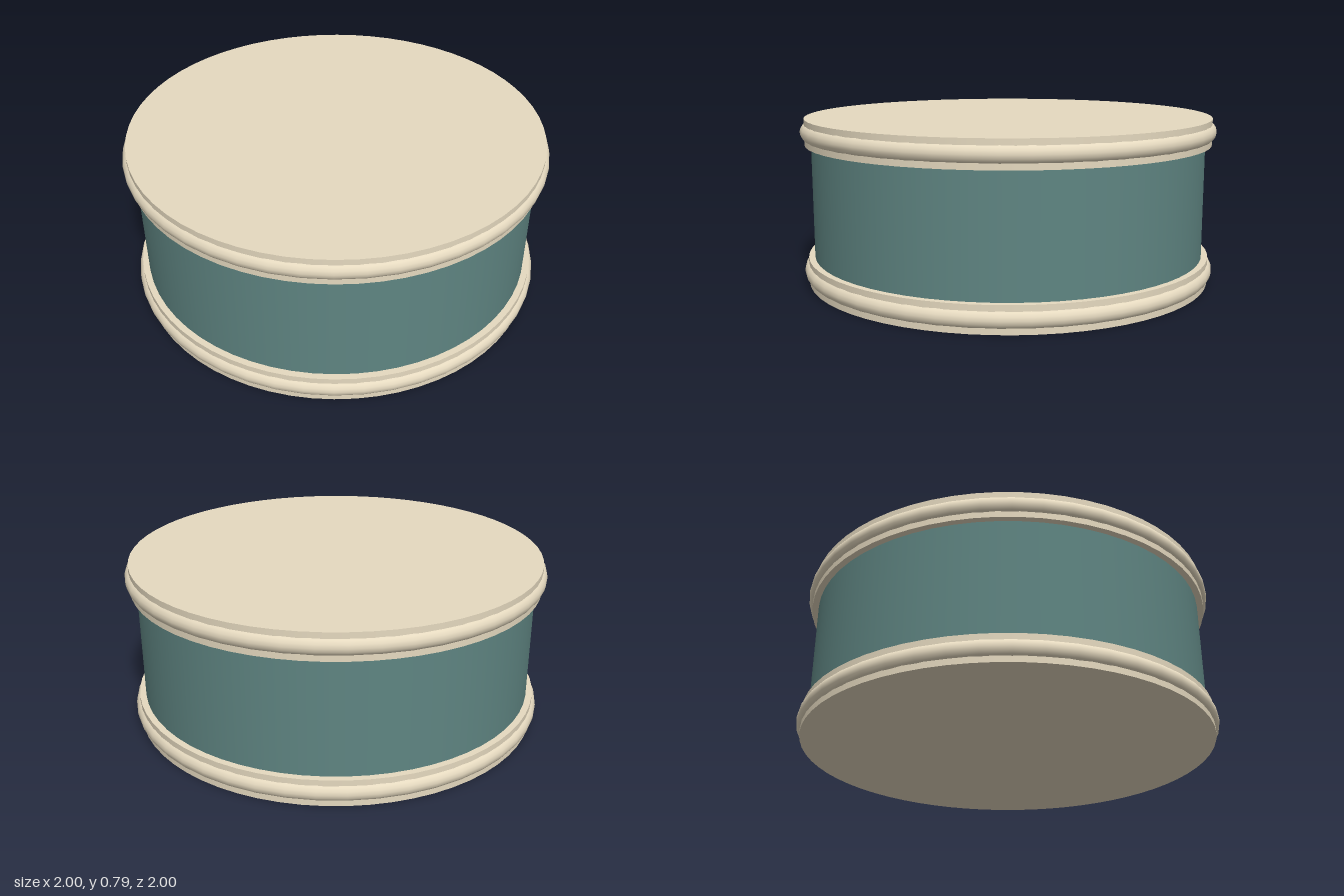
import * as THREE from 'three';

const SEGMENTS = 64;
const HEIGHT = 0.79;
const BAND_HEIGHT = 0.125;

export function createModel() {
  const model = new THREE.Group();
  const shellMaterial = new THREE.MeshStandardMaterial({ color: 0x5f8582 });
  const rimMaterial = new THREE.MeshStandardMaterial({ color: 0xe6dac0 });

  function add(parent, name, geometry, material, y) {
    const mesh = new THREE.Mesh(geometry, material);
    mesh.name = name;
    mesh.position.y = y;
    parent.add(mesh);
  }

  // Drum shell between the two rims
  const shell = new THREE.CylinderGeometry(0.95, 0.95, HEIGHT - BAND_HEIGHT, SEGMENTS);
  add(model, 'shell', shell, shellMaterial, HEIGHT / 2);

  // Each rim is a flat disc with a rounded bead around its edge
  const disc = new THREE.CylinderGeometry(0.98, 0.98, BAND_HEIGHT, SEGMENTS);
  const bead = new THREE.TorusGeometry(0.957, 0.043, 16, 48).rotateX(Math.PI / 2);
  for (const [name, y] of [['bottomRim', BAND_HEIGHT / 2], ['topRim', HEIGHT - BAND_HEIGHT / 2]]) {
    const rim = new THREE.Group();
    rim.name = name;
    rim.position.y = y;
    add(rim, name + 'Disc', disc, rimMaterial, 0);
    add(rim, name + 'Bead', bead, rimMaterial, 0);
    model.add(rim);
  }

  return model;
}
